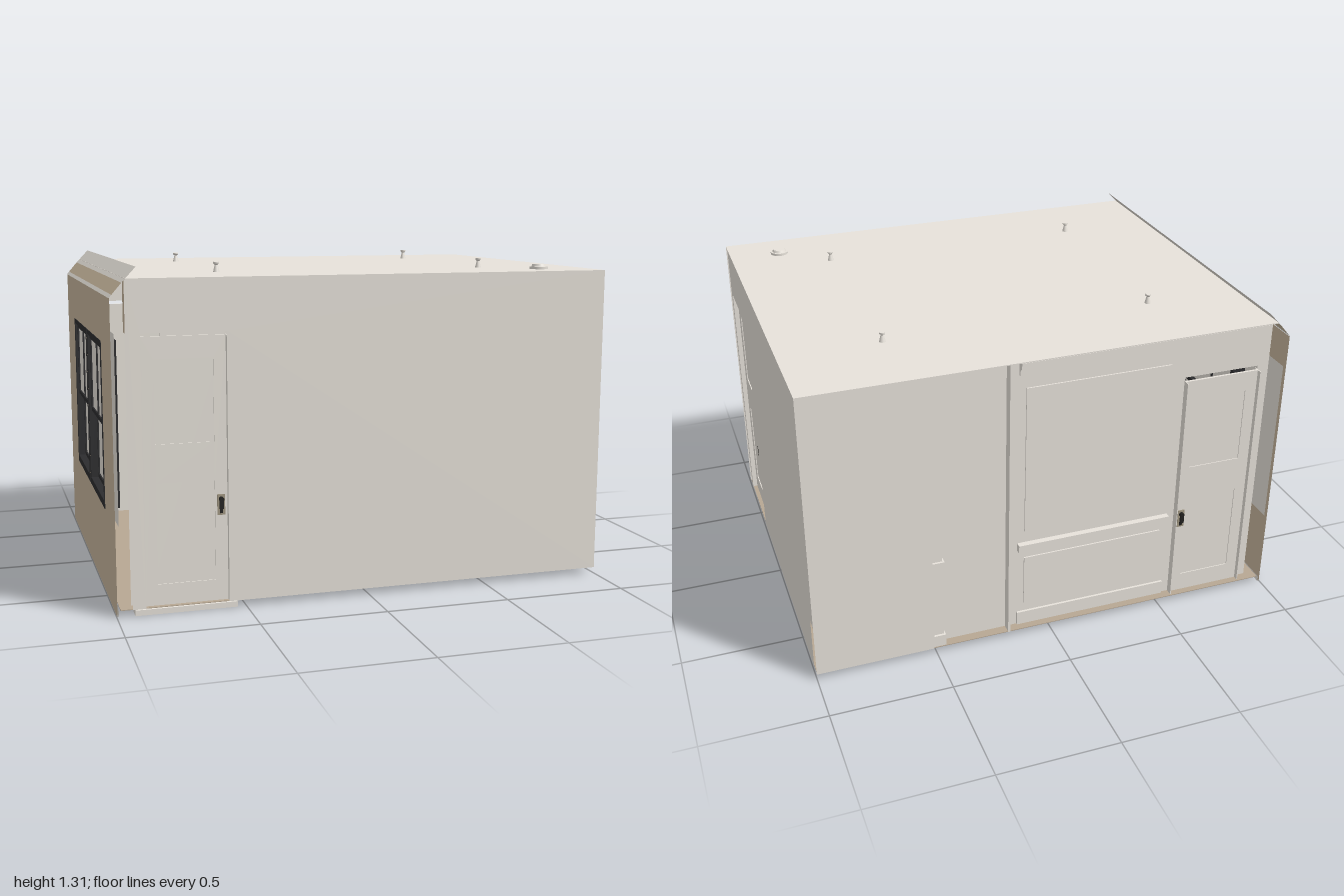
import * as THREE from 'three';

const mat = (name, color) => {
  const m = new THREE.MeshStandardMaterial({ color, side: THREE.DoubleSide });
  m.name = name;
  return m;
};

export function createModel() {
  const M = {
    plaster: mat('plaster', 0xe9e4dc),
    siding: mat('siding', 0xc8b79d),
    frame: mat('window frame', 0x2d2d2f),
    floor: mat('floor boards', 0xb7a793),
    rug: mat('rug', 0xd7d6d0),
    brass: mat('handle plate', 0xa09681),
    black: mat('handle', 0x232220),
  };
  const room = new THREE.Group();
  room.name = 'room';

  const add = (parent, name, geo, m, x = 0, y = 0, z = 0) => {
    const mesh = new THREE.Mesh(geo, m);
    mesh.name = name;
    mesh.position.set(x, y, z);
    parent.add(mesh);
    return mesh;
  };
  // box given by its limits
  const box = (parent, name, m, x0, x1, y0, y1, z0, z1) =>
    add(parent, name, new THREE.BoxGeometry(x1 - x0, y1 - y0, z1 - z0), m,
      (x0 + x1) / 2, (y0 + y1) / 2, (z0 + z1) / 2);
  const rect = (C, x0, x1, y0, y1) =>
    new C([[x0, y0], [x1, y0], [x1, y1], [x0, y1]].map(p => new THREE.Vector2(...p)));
  // flat sheet facing local +z
  const sheet = (parent, name, m, x0, x1, y0, y1, z) =>
    add(parent, name, new THREE.ShapeGeometry(rect(THREE.Shape, x0, x1, y0, y1)), m, 0, 0, z);

  const BASE = 0.025, TOP = 1.27;

  // flat wall facing local +z, optionally notched for a doorway [a, b, height]
  const wall = (parent, name, x0, x1, z, door) => {
    const pts = [[x0, BASE]];
    if (door) pts.push([door[0], BASE], [door[0], door[2]], [door[1], door[2]], [door[1], BASE]);
    pts.push([x1, BASE], [x1, TOP], [x0, TOP]);
    const shape = new THREE.Shape(pts.map(p => new THREE.Vector2(...p)));
    return add(parent, name, new THREE.ShapeGeometry(shape), M.plaster, 0, 0, z);
  };

  // panelled door with jambs and handle, set back from the wall face at z
  const door = (parent, name, x0, x1, top, z, handleX) => {
    const g = new THREE.Group();
    g.name = name;
    const leaf = rect(THREE.Shape, x0 + 0.002, x1 - 0.002, 0.022, top);
    for (const [y0, y1] of [[0.11, 0.5], [0.65, 0.97]])
      leaf.holes.push(rect(THREE.Path, x0 + 0.05, x1 - 0.05, y0, y1));
    add(g, 'doorLeaf', new THREE.ExtrudeGeometry(leaf, { depth: 0.01, bevelEnabled: false }),
      M.plaster, 0, 0, z - 0.03);
    box(g, 'doorPanel', M.plaster, x0 + 0.01, x1 - 0.01, 0.03, top - 0.01, z - 0.034, z - 0.024);
    for (const x of [x0, x1]) box(g, 'jamb', M.plaster, x - 0.002, x + 0.002, BASE, top, z - 0.045, z);
    // handle
    box(g, 'handlePlate', M.brass, handleX - 0.015, handleX + 0.015, 0.365, 0.445, z - 0.021, z - 0.015);
    box(g, 'keyhole', M.black, handleX - 0.006, handleX + 0.006, 0.372, 0.388, z - 0.016, z - 0.013);
    const knob = add(g, 'handleKnob', new THREE.CylinderGeometry(0.01, 0.01, 0.014, 12),
      M.black, handleX, 0.427, z - 0.01);
    knob.rotation.x = Math.PI / 2;
    box(g, 'handleLever', M.black, handleX - 0.008, handleX + 0.008, 0.39, 0.427, z - 0.01, z - 0.002);
    parent.add(g);
  };

  const side = (name, angle) => {
    const g = new THREE.Group();
    g.name = name;
    g.rotation.y = angle;
    room.add(g);
    return g;
  };

  // front side, with an open slot above the door
  const front = side('frontSide', 0);
  wall(front, 'frontWall', -0.94, 1, 0.78, [-0.89, -0.565, 1.07]);
  wall(front, 'frontInnerWall', -0.94, 0.955, 0.735, [-0.89, -0.565, 1.07]);
  door(front, 'frontDoor', -0.89, -0.565, 1.055, 0.78, -0.592);
  box(front, 'threshold', M.plaster, -0.93, -0.535, 0, 0.022, 0.73, 0.78);

  // left side (+x); local x runs towards the back
  const left = side('leftSide', Math.PI / 2);
  wall(left, 'leftWall', -0.735, 0.73, 1, [-0.71, -0.355, 1.06]);
  wall(left, 'leftInnerWall', -0.735, 0.735, 0.955, [-0.71, -0.355, 1.06]);
  box(left, 'leftDoorHead', M.plaster, -0.71, -0.355, 1.05, 1.06, 0.955, 0.995);
  door(left, 'leftDoor', -0.71, -0.355, 1.052, 1, -0.382);

  // back side; local x runs towards -x
  const back = side('backSide', Math.PI);
  wall(back, 'backPlainWall', -1, -0.55, 0.78);
  box(back, 'backPost', M.plaster, -0.55, -0.51, BASE, TOP, 0.725, 0.78);
  box(back, 'backPostStep', M.plaster, -0.51, -0.465, BASE, TOP, 0.725, 0.765);
  for (const [y0, y1] of [[0.026, 0.08], [0.4, 0.44], [1.21, 1.265]])
    box(back, 'postCollar', M.plaster, -0.515, -0.458, y0, y1, 0.74, 0.775);
  wall(back, 'backPanelWall', -0.465, 0.94, 0.74, [0.565, 0.89, 1.07]);
  box(back, 'backFin', M.plaster, -0.19, -0.18, BASE, TOP, 0.74, 0.78);
  for (const [y0, y1, d] of [[0.03, 0.09, 0.01], [0.4, 0.435, 0.025], [1.2, 1.23, 0.015], [1.23, 1.26, 0.03]])
    box(back, 'wallMoulding', M.plaster, -0.14, y0 > 1 ? 0.92 : 0.53, y0, y1, 0.74, 0.74 + d);
  for (const [y0, y1] of [[0.13, 0.36], [0.49, 1.14]])
    box(back, 'wallPanel', M.plaster, -0.11, 0.5, y0, y1, 0.74, 0.746);
  door(back, 'backDoor', 0.565, 0.89, 1.055, 0.77, 0.592);

  // right side (-x); local x runs towards the front
  const right = side('rightSide', -Math.PI / 2);
  const siding = rect(THREE.Shape, -0.78, 0.78, 0, 1.2);
  const openings = [[-0.48, -0.005], [0.015, 0.49]];
  const Y0 = 0.35, Y1 = 1.015, MID = 0.68;
  for (const [a, b] of openings) siding.holes.push(rect(THREE.Path, a, b, Y0, Y1));
  add(right, 'windowWall', new THREE.ShapeGeometry(siding), M.siding, 0, 0, 0.998);
  sheet(right, 'rightSkirting', M.plaster, -0.78, 0.78, 0, BASE, 0.992);
  for (const [a, b] of [[-0.78, -0.5], [0.5, 0.78]])
    sheet(right, 'innerLining', M.plaster, a, b, Y0, 1.07, 0.985);
  sheet(right, 'upperLining', M.siding, 0.735, 0.78, 1.07, 1.262, 0.945);

  // sash windows
  for (const [a, b] of openings) {
    const g = new THREE.Group();
    g.name = 'sashWindow';
    right.add(g);
    const surround = rect(THREE.Shape, a, b, Y0, Y1);
    surround.holes.push(rect(THREE.Path, a + 0.022, b - 0.022, Y0 + 0.03, Y1 - 0.02));
    add(g, 'windowFrame', new THREE.ExtrudeGeometry(surround, { depth: 0.06, bevelEnabled: false }),
      M.frame, 0, 0, 0.94);
    const mid = (a + b) / 2;
    for (const [y0, y1, z] of [[Y0 + 0.03, MID + 0.01, 0.955], [MID - 0.01, Y1 - 0.02, 0.975]]) {
      const sash = rect(THREE.Shape, a + 0.02, b - 0.02, y0, y1);
      for (const [u, v] of [[a + 0.035, mid - 0.006], [mid + 0.006, b - 0.035]])
        sash.holes.push(rect(THREE.Path, u, v, y0 + 0.018, y1 - 0.018));
      add(g, 'sash', new THREE.ExtrudeGeometry(sash, { depth: 0.015, bevelEnabled: false }),
        M.frame, 0, 0, z);
      box(g, 'glass', M.plaster, a + 0.03, b - 0.03, y0 + 0.01, y1 - 0.01, z + 0.005, z + 0.009);
    }
  }

  // sloping cornice along the top of the window wall
  const slope = (name, m, x0, y0, x1, y1) => {
    const geo = new THREE.PlaneGeometry(Math.hypot(x1 - x0, y1 - y0), 1.56);
    geo.rotateX(-Math.PI / 2);
    const mesh = add(room, name, geo, m, (x0 + x1) / 2, (y0 + y1) / 2, 0);
    mesh.rotation.z = Math.atan2(y1 - y0, x1 - x0);
  };
  slope('corniceEdge', M.plaster, -1, 1.2, -0.99, 1.212);
  slope('corniceBand', M.siding, -0.99, 1.212, -0.953, 1.255);
  slope('corniceTop', M.plaster, -0.953, 1.255, -0.9, 1.312);

  // ceiling and floor slabs
  box(room, 'ceiling', M.plaster, -0.94, 1, TOP - 0.004, TOP, -0.78, 0.78);
  box(room, 'floor', M.floor, -0.985, 0.998, BASE, BASE + 0.003, -0.778, 0.778);
  box(room, 'rug', M.rug, -0.33, 0.65, 0.017, 0.025, -0.64, 0.31);

  // ceiling fittings, each a stack of [bottom radius, top radius, height]
  const stack = (name, x, z, parts) => {
    const g = new THREE.Group();
    g.name = name;
    let y = TOP;
    for (const [r0, r1, h] of parts) {
      add(g, name + 'Part', new THREE.CylinderGeometry(r1, r0, h, 24), M.plaster, x, y + h / 2, z);
      y += h;
    }
    room.add(g);
  };
  for (const x of [-0.535, 0.585])
    for (const z of [-0.43, 0.46])
      stack('ceilingFitting', x, z, [[0.013, 0.006, 0.028], [0.006, 0.012, 0.006], [0.012, 0.012, 0.006]]);
  stack('ceilingAlarm', 0.785, 0.62, [[0.038, 0.038, 0.01], [0.03, 0.026, 0.01]]);

  return room;
}
